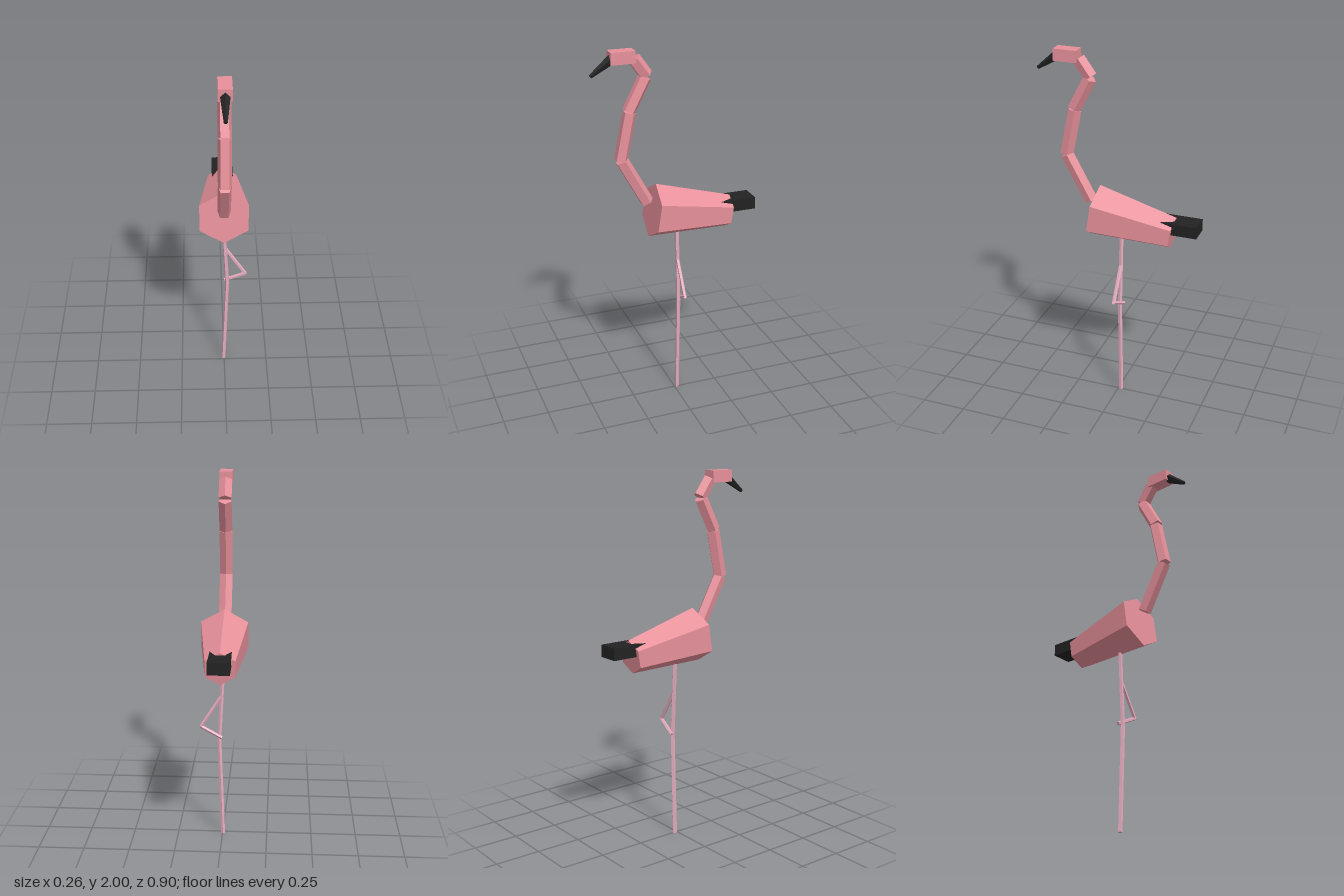
import * as THREE from 'three';

const mat = (name, color) => {
  const m = new THREE.MeshStandardMaterial({ color, flatShading: true });
  m.name = name;
  return m;
};

export function createModel() {
  const coral = mat('coral plumage', 0xe8919b);
  const palePink = mat('pale pink legs', 0xe8aec0);
  const black = mat('black', 0x222222);

  const bird = new THREE.Group();
  bird.name = 'wadingBird';
  const X = -0.004; // centre line of the body

  // Tapered prism from a to b, with one corner edge turned toward ridge
  function prism(name, a, b, ra, rb, sides, ridge, material) {
    const from = new THREE.Vector3(...a);
    const to = new THREE.Vector3(...b);
    const axis = to.clone().sub(from);
    const geo = new THREE.CylinderGeometry(rb, ra, axis.length(), sides);
    axis.normalize();
    const side = axis.clone().cross(new THREE.Vector3(...ridge)).normalize();
    const up = side.clone().cross(axis);
    geo.applyMatrix4(new THREE.Matrix4().makeBasis(side, axis, up));
    const mesh = new THREE.Mesh(geo, material);
    mesh.name = name;
    mesh.position.copy(from.add(to).multiplyScalar(0.5));
    bird.add(mesh);
  }

  function box(name, size, pos, material) {
    const mesh = new THREE.Mesh(new THREE.BoxGeometry(...size), material);
    mesh.name = name;
    mesh.position.set(...pos);
    bird.add(mesh);
  }

  // Body and tail
  prism('body', [X, 1.063, -0.307], [X, 1.127, 0.126], 0.091, 0.149, 6, [0, 1, 0], coral);
  box('tail', [0.115, 0.065, 0.22], [X, 1.107, -0.339], black);

  // Neck: four five-sided links, each given as y, z at its two ends
  [
    [1.18, 0.154, 1.427, 0.289],
    [1.429, 0.292, 1.68, 0.241],
    [1.686, 0.244, 1.856, 0.156],
    [1.864, 0.151, 1.954, 0.215],
  ].forEach(([y0, z0, y1, z1], i) =>
    prism('neck' + (i + 1), [X, y0, z0], [X, y1, z1], 0.0365, 0.0365, 5, [0, 0, -1], coral));

  // Head and beak
  box('head', [0.069, 0.063, 0.128], [X, 1.9685, 0.279], coral);
  prism('beak', [X, 1.962, 0.328], [X, 1.882, 0.441], 0.027, 0.01, 5, [0, 1, 0], black);

  // Standing leg
  const z = -0.016;
  prism('standingShin', [-0.003, 0, z], [0.018, 0.575, z], 0.012, 0.012, 5, [0, 0, -1], palePink);
  prism('standingThigh', [0.018, 0.57, z], [-0.005, 1.0, z], 0.012, 0.011, 5, [0, 0, -1], palePink);

  // Raised leg, folded out to the left
  prism('raisedThigh', [0.005, 0.82, z], [0.118, 0.642, z], 0.01, 0.01, 5, [0, 0, -1], palePink);
  prism('raisedShin', [0.121, 0.643, z], [0.002, 0.583, -0.034], 0.01, 0.01, 5, [0, 0, -1], palePink);

  return bird;
}
